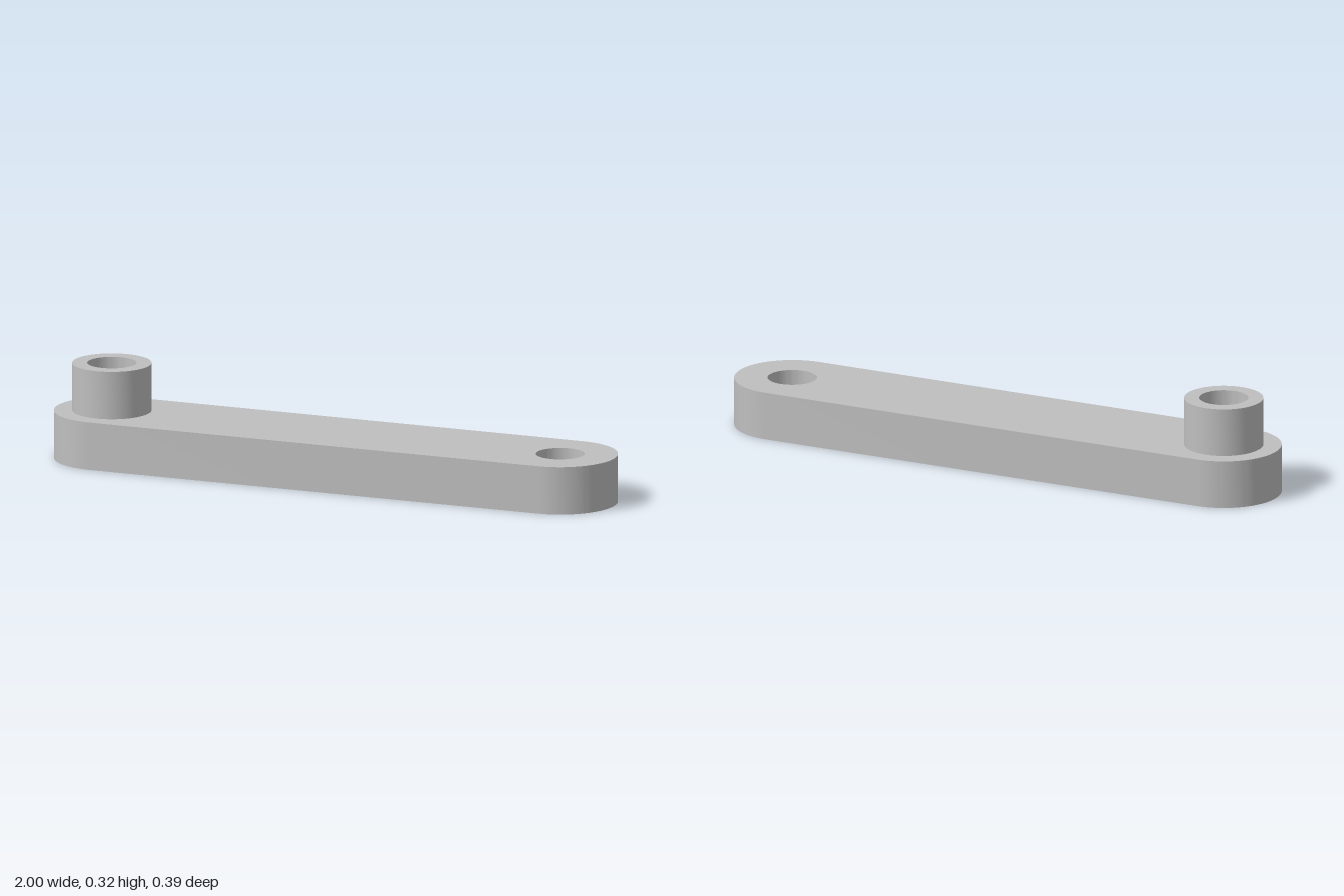
import * as THREE from 'three';
import { toCreasedNormals } from 'three/addons/utils/BufferGeometryUtils.js';

const END_RADIUS = 0.193;   // rounded ends of the bar
const PIVOT_X = 1 - END_RADIUS;
const HOLE_RADIUS = 0.082;
const BOSS_RADIUS = 0.132;
const BAR_HEIGHT = 0.162;
const TOTAL_HEIGHT = 0.324;

// Flat bar with semicircular ends and a through hole at each pivot
function barGeometry() {
  const shape = new THREE.Shape();
  shape.absarc(PIVOT_X, 0, END_RADIUS, -Math.PI / 2, Math.PI / 2, false);
  shape.absarc(-PIVOT_X, 0, END_RADIUS, Math.PI / 2, Math.PI * 1.5, false);
  shape.closePath();
  for (const side of [-1, 1]) {
    const hole = new THREE.Path();
    hole.absarc(side * PIVOT_X, 0, HOLE_RADIUS, 0, Math.PI * 2, true);
    shape.holes.push(hole);
  }
  const geometry = new THREE.ExtrudeGeometry(shape, {
    depth: BAR_HEIGHT, bevelEnabled: false, curveSegments: 32,
  });
  geometry.rotateX(-Math.PI / 2);
  return toCreasedNormals(geometry, 0.6);
}

// Hollow collar: outer wall, top ring and bore, open where it meets the bar
function bossGeometry() {
  const profile = [
    [BOSS_RADIUS, BAR_HEIGHT],
    [BOSS_RADIUS, TOTAL_HEIGHT],
    [HOLE_RADIUS, TOTAL_HEIGHT],
    [HOLE_RADIUS, BAR_HEIGHT],
  ].map(([r, y]) => new THREE.Vector2(r, y));
  return toCreasedNormals(new THREE.LatheGeometry(profile, 64), 0.6);
}

export function createModel() {
  const grey = new THREE.MeshStandardMaterial({ color: 0xbfbfbf });
  grey.name = 'grey metal';

  const bar = new THREE.Mesh(barGeometry(), grey);
  bar.name = 'linkBar';

  const boss = new THREE.Mesh(bossGeometry(), grey);
  boss.name = 'pivotBoss';
  boss.position.x = -PIVOT_X;

  const model = new THREE.Group();
  model.name = 'linkArm';
  model.add(bar, boss);
  return model;
}
